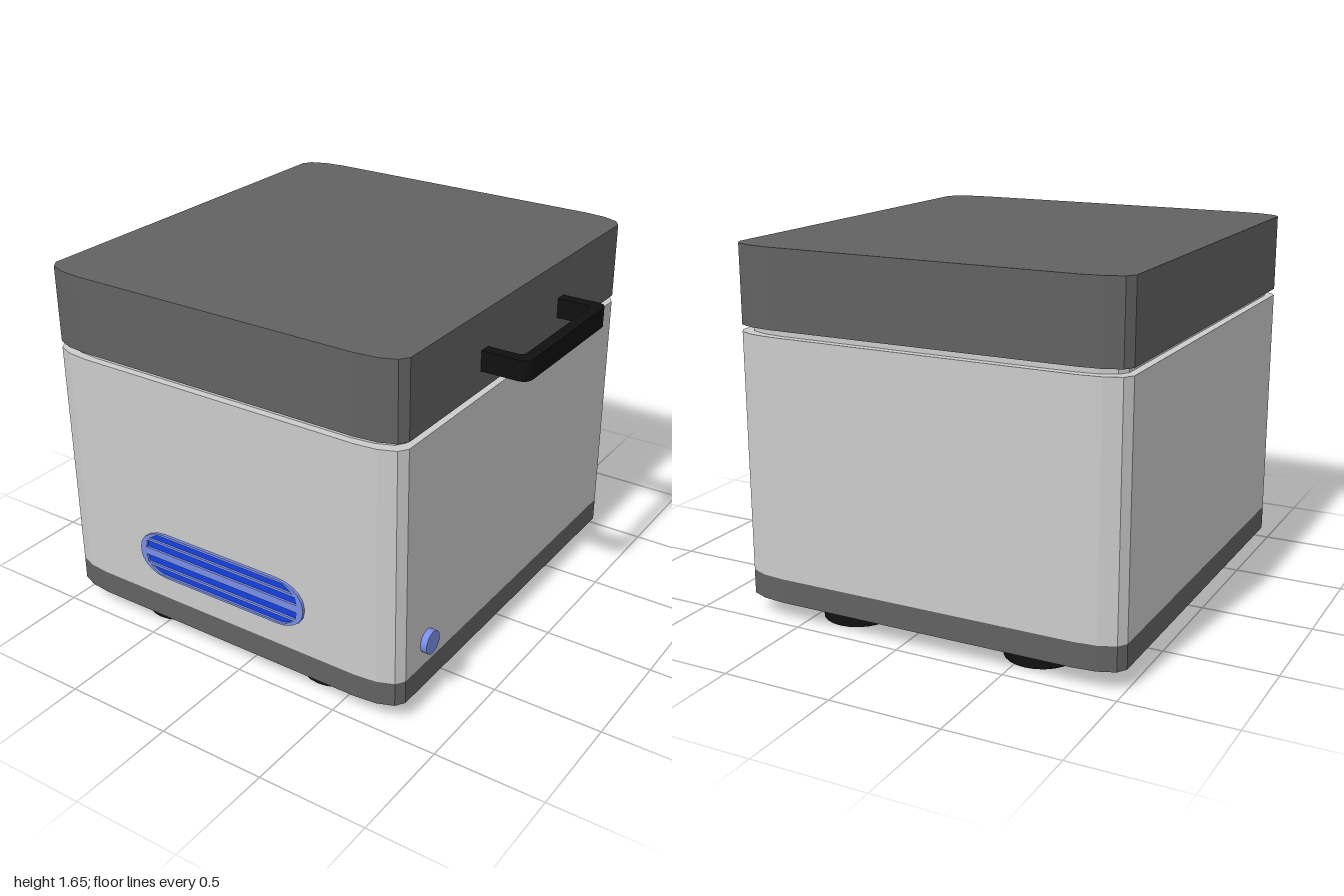
import * as THREE from 'three';

const CX = -0.105, CZ = -0.0065; // centre of the cabinet

const mat = (color) => new THREE.MeshStandardMaterial({ color, flatShading: true });

function add(parent, name, geometry, material) {
  const mesh = new THREE.Mesh(geometry, material);
  mesh.name = name;
  parent.add(mesh);
  return mesh;
}

// Rectangle with elliptical corners, n segments each
function roundedPoints(hx, hy, rx, ry, n) {
  const pts = [];
  [[1, 1], [-1, 1], [-1, -1], [1, -1]].forEach(([sx, sy], q) => {
    for (let i = 0; i <= n; i++) {
      const a = (q + i / n) * Math.PI / 2;
      pts.push(new THREE.Vector2(sx * (hx - rx) + rx * Math.cos(a), sy * (hy - ry) + ry * Math.sin(a)));
    }
  });
  return pts;
}

// Horizontal slab of the cabinet outline, from y0 to y1
function slab(y0, y1, inset = 0) {
  const shape = new THREE.Shape(roundedPoints(0.895 - inset, 0.9735 - inset, 0.2, 0.08, 3));
  return new THREE.ExtrudeGeometry(shape, { depth: y1 - y0, bevelEnabled: false })
    .rotateX(-Math.PI / 2).translate(CX, y0, CZ);
}

export function createModel() {
  const model = new THREE.Group();
  const grey = mat(0xcccccc), dark = mat(0x626262), black = mat(0x101010);
  const blue = mat(0x7a8ee6), deepBlue = mat(0x1240e6);

  // Cabinet
  add(model, 'base', slab(0.09, 0.2), dark);
  add(model, 'body', slab(0.2, 1.278), grey);
  add(model, 'neck', slab(1.278, 1.308, 0.035), grey);
  add(model, 'lid', slab(1.308, 1.655), dark);

  // Stepped round feet
  for (const sx of [-1, 1]) for (const sz of [-1, 1]) {
    const foot = new THREE.Group();
    foot.name = 'foot';
    foot.position.set(CX + sx * 0.448, 0, CZ + sz * 0.735);
    add(foot, 'footPad', new THREE.CylinderGeometry(0.159, 0.159, 0.052, 24).translate(0, 0.026, 0), black);
    add(foot, 'footStem', new THREE.CylinderGeometry(0.122, 0.122, 0.04, 24).translate(0, 0.071, 0), black);
    model.add(foot);
  }

  // Bracket handle on the lid, drawn in x and z
  const h = new THREE.Shape();
  h.moveTo(0.785, -0.3625);
  h.lineTo(0.95, -0.3625);
  h.quadraticCurveTo(1, -0.3625, 1, -0.3125);
  h.lineTo(1, 0.3125);
  h.quadraticCurveTo(1, 0.3625, 0.95, 0.3625);
  h.lineTo(0.785, 0.3625);
  h.lineTo(0.785, 0.308);
  h.lineTo(0.92, 0.308);
  h.quadraticCurveTo(0.95, 0.308, 0.95, 0.278);
  h.lineTo(0.95, -0.278);
  h.quadraticCurveTo(0.95, -0.308, 0.92, -0.308);
  h.lineTo(0.785, -0.308);
  h.closePath();
  add(model, 'handle', new THREE.ExtrudeGeometry(h, { depth: 0.09, bevelEnabled: false, curveSegments: 5 })
    .rotateX(Math.PI / 2).translate(0, 1.486, CZ), black);

  // Round button on the side
  add(model, 'button', new THREE.CylinderGeometry(0.053, 0.053, 0.04, 20)
    .rotateZ(Math.PI / 2).translate(0.8, 0.31, 0.725), blue);

  // Front vent: slotted plate over a deeper backing
  const vent = new THREE.Group();
  vent.name = 'vent';
  vent.position.set(CX, 0.4235, 0);
  const plate = new THREE.Shape(roundedPoints(0.445, 0.111, 0.14, 0.1, 5));
  for (const s of [-1, 1]) {
    // each slot: inner y, outer y, half widths at both
    for (const [y0, y1, w0, w1] of [[0.018, 0.055, 0.412, 0.405], [0.067, 0.1, 0.395, 0.345]]) {
      plate.holes.push(new THREE.Path([
        new THREE.Vector2(-w0, s * y0), new THREE.Vector2(w0, s * y0),
        new THREE.Vector2(w1, s * y1), new THREE.Vector2(-w1, s * y1),
      ]));
    }
  }
  add(vent, 'ventGrille', new THREE.ExtrudeGeometry(plate, { depth: 0.02, bevelEnabled: false })
    .translate(0, 0, 0.96), blue);
  const backing = new THREE.Shape(roundedPoints(0.425, 0.104, 0.13, 0.095, 5));
  add(vent, 'ventBacking', new THREE.ExtrudeGeometry(backing, { depth: 0.011, bevelEnabled: false })
    .translate(0, 0, 0.959), deepBlue);
  model.add(vent);

  return model;
}
